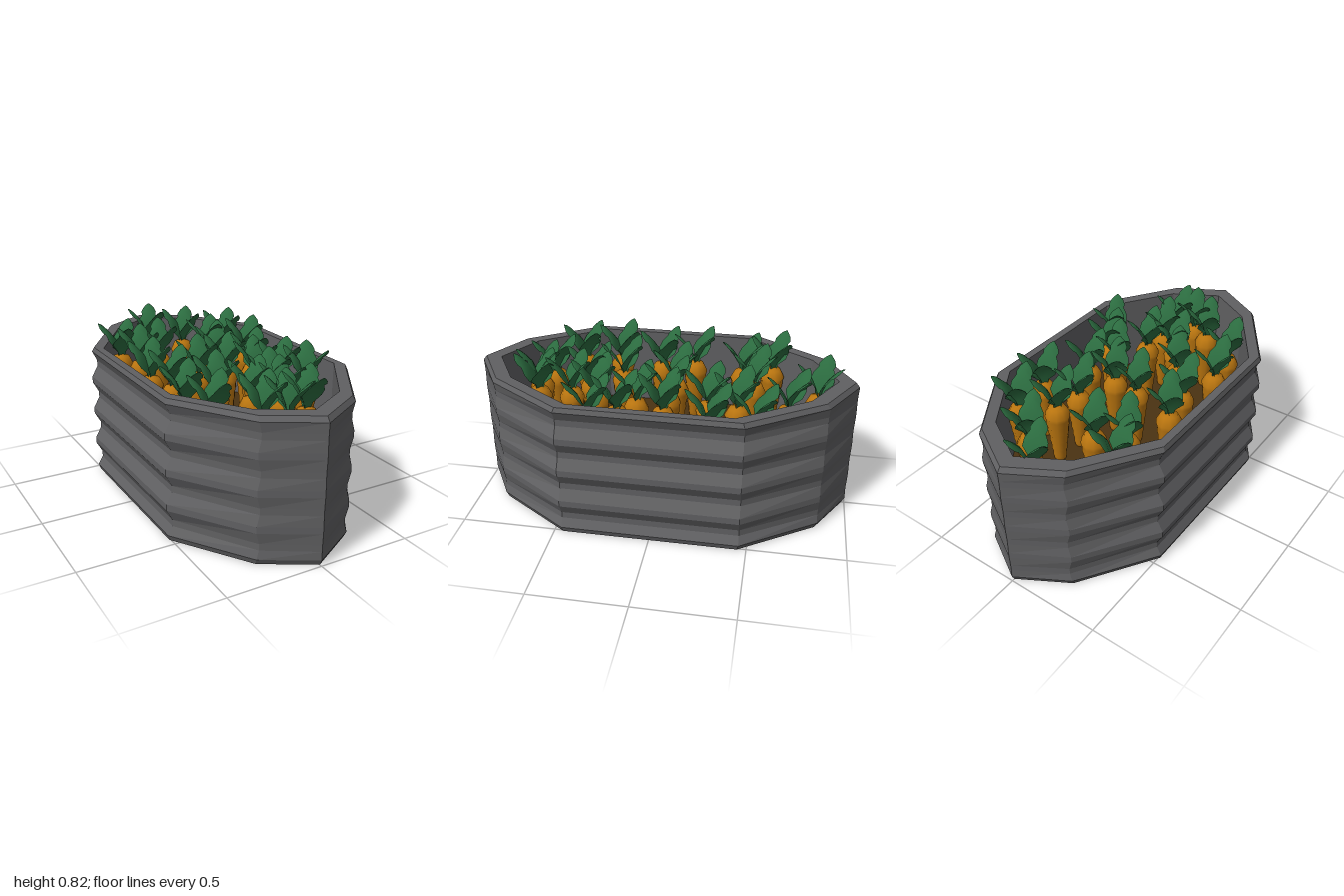
import * as THREE from 'three';

// Half outline of the bed (x, z), mirrored to a closed ten-sided plan
const HALF = [[0, 1], [0.26, 0.85], [0.52, 0.46], [0.52, -0.46], [0.26, -0.85], [0, -1]];
const PLAN = [...HALF, ...HALF.slice(1, -1).reverse().map(([x, z]) => [-x, z])];

// Skin a list of cross-section rings; each ring is an array of [x, y, z]
function skin(rings, closed) {
  const pos = [], idx = [], n = rings[0].length;
  rings.forEach(r => r.forEach(p => pos.push(...p)));
  for (let i = 0; i < rings.length - 1; i++) {
    for (let j = 0; j < (closed ? n : n - 1); j++) {
      const k = (j + 1) % n, a = i * n + j, b = i * n + k, c = a + n, d = b + n;
      idx.push(a, b, d, a, d, c);
    }
  }
  const g = new THREE.BufferGeometry();
  g.setAttribute('position', new THREE.Float32BufferAttribute(pos, 3));
  g.setIndex(idx);
  g.computeVertexNormals();
  return g;
}

// Stack scaled copies of the plan: levels are [y, x scale, z scale]
const stack = levels => skin(levels.map(([y, sx, sz]) => PLAN.map(([x, z]) => [x * sx, y, z * sz])), true);

// One broad, curled leaf growing outward along +z
function leafGeometry() {
  // reach, height, half width
  const spine = [[0.0, 0.60, 0.012], [0.025, 0.68, 0.03], [0.055, 0.74, 0.07],
    [0.085, 0.772, 0.068], [0.105, 0.79, 0.045], [0.125, 0.805, 0.05], [0.145, 0.817, 0.036], [0.155, 0.82, 0.008]];
  const rows = spine.map(([r, y, w]) => [-1, -0.5, 0, 0.5, 1].map(t =>
    [t * w, y - 0.6 * w * t * t, r - 0.25 * w * t * t]));
  return skin(rows, false);
}

// Ringed root, wide at the shoulder and narrow in the soil
function rootGeometry() {
  const pts = [new THREE.Vector2(0.022, 0.28)];
  for (let i = 0; i < 6; i++) {
    const y = 0.3 + i * 0.052, r = 0.03 + i * 0.006;
    pts.push(new THREE.Vector2(r, y), new THREE.Vector2(r + 0.007, y + 0.026));
  }
  pts.push(new THREE.Vector2(0.045, 0.63), new THREE.Vector2(0, 0.645));
  return new THREE.LatheGeometry(pts, 10);
}

export function createModel() {
  const model = new THREE.Group();
  const mat = (color, extra = {}) => new THREE.MeshStandardMaterial({ color, ...extra });
  const add = (parent, name, geometry, material) => {
    const m = new THREE.Mesh(geometry, material);
    m.name = name;
    parent.add(m);
    return m;
  };

  // Corrugated wall: the ridges swell sideways and fade out at the two tips
  const SOIL = 0.3;
  const levels = [[0, 0, 0], [0, 0.975, 0.985], [0.03, 0.995, 1]];
  for (let i = 0; i < 4; i++) {
    const y = 0.075 + i * 0.183;
    levels.push([y, 0.943, 0.998], [y + 0.034, 0.943, 0.998]);
    if (i < 3) levels.push([y + 0.092, 1.005, 1], [y + 0.126, 1.005, 1]);
  }
  // Rim, then down the inside face
  levels.push([0.71, 0.993, 1], [0.735, 0.975, 0.98], [0.735, 0.895, 0.895], [SOIL, 0.895, 0.895]);
  add(model, 'corrugatedWall', stack(levels), mat(0x606062, { flatShading: true }));

  // Soil bed
  add(model, 'soil', stack([[SOIL, 0.9, 0.9], [SOIL, 0, 0]]), mat(0x4a3212, { flatShading: true }));

  // Planting positions (x, z)
  const spots = [[-0.02, -0.8], [0.13, -0.65], [-0.31, -0.55], [-0.11, -0.46], [0.33, -0.5],
    [0.17, -0.4], [-0.26, -0.39], [0.36, -0.28], [0.15, -0.25], [-0.32, -0.12], [-0.28, 0.06],
    [-0.07, -0.05], [0.08, -0.03], [0.25, -0.03], [0.18, 0.12], [0.28, 0.2], [-0.33, 0.3],
    [-0.13, 0.25], [-0.02, 0.4], [0.13, 0.34], [0.35, 0.33], [-0.29, 0.5], [0.11, 0.48],
    [-0.09, 0.62], [0.13, 0.65], [0.02, 0.67]];
  const leaf = leafGeometry(), root = rootGeometry();
  const leafMat = mat(0x2b6b3f, { side: THREE.DoubleSide });
  const rootMat = mat(0xb8740f);
  spots.forEach(([x, z], i) => {
    const plant = new THREE.Group();
    plant.name = 'plant';
    plant.position.set(x, 0, z);
    add(plant, 'root', root, rootMat);
    // Two leaves lean back and one leans forward
    [0.25, 2.5, 4.1].forEach((angle, k) => {
      const m = add(plant, 'leaf', leaf, leafMat);
      m.rotation.y = angle + 0.25 * Math.sin(i * 2.3 + k);
      m.scale.set(0.9, 1, 0.8);
    });
    model.add(plant);
  });
  return model;
}
